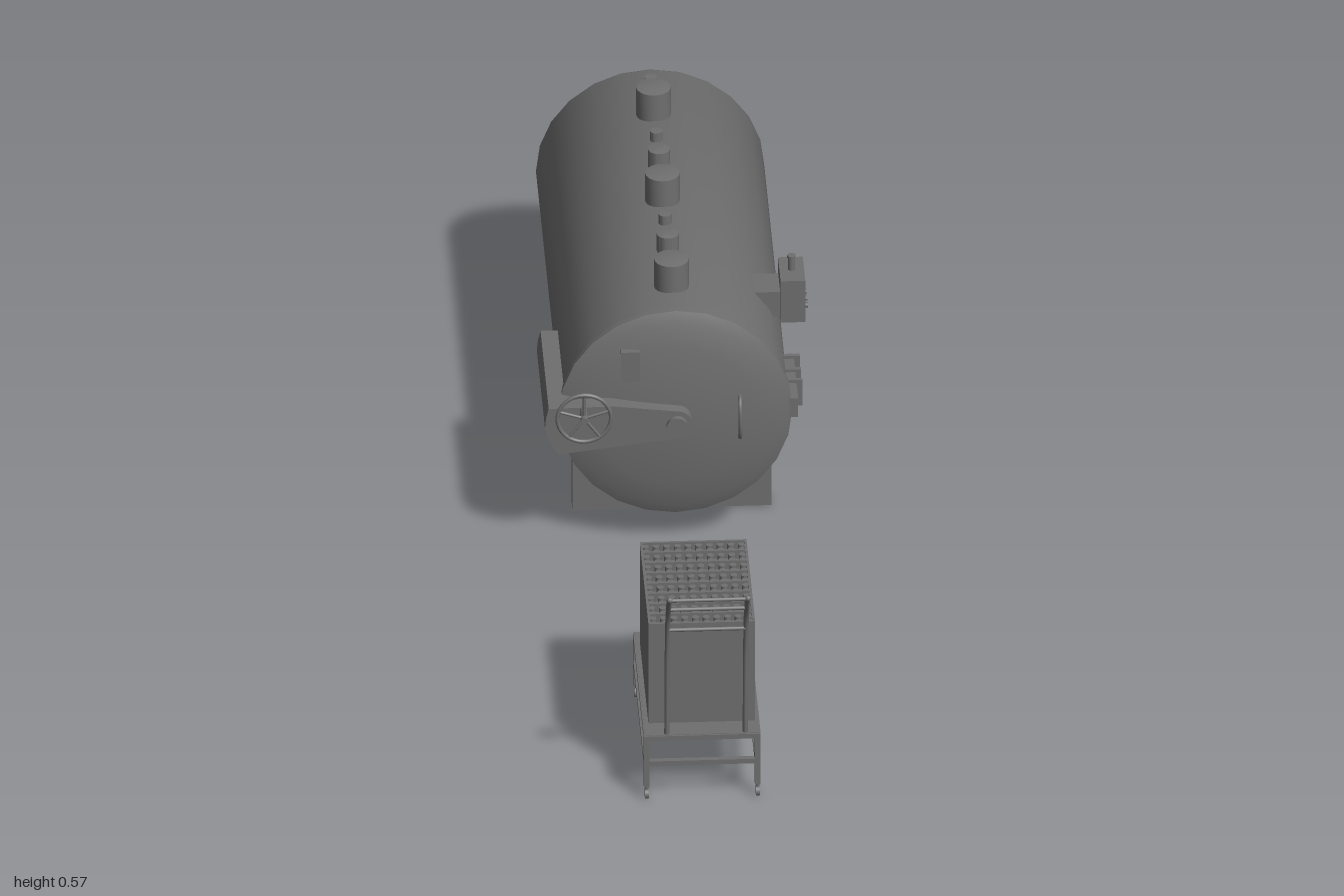
import * as THREE from 'three';
import { toCreasedNormals } from 'three/addons/utils/BufferGeometryUtils.js';

const CX = -0.006, CY = 0.289, R = 0.217;

export function createModel() {
  const root = new THREE.Group();
  const mat = new THREE.MeshStandardMaterial({ color: 0x6f6f6f });
  const V = (x, y, z) => new THREE.Vector3(x, y, z);

  const group = (name) => {
    const g = new THREE.Group();
    g.name = name;
    root.add(g);
    return g;
  };
  const add = (parent, name, geo) => {
    const m = new THREE.Mesh(geo, mat);
    m.name = name;
    parent.add(m);
    return m;
  };
  // box given by its limits on each axis
  const box = (parent, name, x0, x1, y0, y1, z0, z1) =>
    add(parent, name, new THREE.BoxGeometry(x1 - x0, y1 - y0, z1 - z0)
      .translate((x0 + x1) / 2, (y0 + y1) / 2, (z0 + z1) / 2));
  // straight rod between two points
  const rod = (parent, name, a, b, r, seg = 12) => {
    const m = add(parent, name, new THREE.CylinderGeometry(r, r, a.distanceTo(b), seg));
    m.position.copy(a).add(b).multiplyScalar(0.5);
    m.quaternion.setFromUnitVectors(V(0, 1, 0), b.clone().sub(a).normalize());
    return m;
  };
  const tube = (parent, name, pts, r, n = 20) =>
    add(parent, name, new THREE.TubeGeometry(new THREE.CatmullRomCurve3(pts), n, r, 8));
  // profile of [radius, z] turned about the tank axis
  const turned = (parent, name, profile) => {
    const g = new THREE.LatheGeometry(profile.map(([r, z]) => new THREE.Vector2(r, z)), 24);
    g.rotateX(Math.PI / 2).translate(CX, CY, 0);
    return add(parent, name, toCreasedNormals(g, 0.9));
  };
  const extrude = (parent, name, shape, z0, z1) =>
    add(parent, name, toCreasedNormals(new THREE.ExtrudeGeometry(shape,
      { depth: z1 - z0, bevelEnabled: false, curveSegments: 12 }).translate(0, 0, z0), 0.4));

  // --- Tank ---
  const tank = group('tank');
  turned(tank, 'shell', [[0, -1], [0.07, -0.997], [0.13, -0.99], [0.18, -0.979],
    [0.205, -0.971], [0.213, -0.966], [R, -0.958], [R, -0.06], [0, -0.06]]);
  turned(tank, 'door', [[0, -0.062], [0.222, -0.062], [0.222, -0.05], [0.2, -0.041],
    [0.15, -0.031], [0.08, -0.023], [0, -0.02]]);

  // --- Ports along the crown: z, radius, top height ---
  [[-0.9, 0.012, 0.525], [-0.8, 0.033, 0.562], [-0.7, 0.012, 0.525], [-0.605, 0.021, 0.541],
    [-0.48, 0.033, 0.562], [-0.39, 0.012, 0.525], [-0.29, 0.021, 0.541], [-0.16, 0.033, 0.562],
  ].forEach(([z, r, top]) => {
    const g = new THREE.LatheGeometry([[r, 0.48], [r, top], [r * 0.6, top + r * 0.07], [0, top + r * 0.1]]
      .map(([a, b]) => new THREE.Vector2(a, b)), 20);
    add(tank, 'topPort', toCreasedNormals(g, 0.5)).position.set(-0.008, 0, z);
  });

  // --- Saddle supports with a round cradle ---
  const saddle = new THREE.Shape();
  const a = Math.acos(0.189 / R);
  saddle.moveTo(CX - 0.189, 0);
  saddle.lineTo(CX + 0.189, 0);
  saddle.absarc(CX, CY, R, -a, -Math.PI + a, true);
  saddle.closePath();
  for (const z of [-0.208, -0.821]) extrude(tank, 'saddle', saddle, z, z + 0.028);

  // --- Control box on its bracket ---
  const control = group('controlBox');
  box(control, 'bracket', 0.13, 0.205, 0.38, 0.434, -0.31, -0.24);
  box(control, 'case', 0.203, 0.25, 0.375, 0.466, -0.315, -0.225);
  rod(control, 'beacon', V(0.226, 0.46, -0.27), V(0.226, 0.492, -0.27), 0.007);
  rod(control, 'beaconCap', V(0.226, 0.492, -0.27), V(0.226, 0.497, -0.27), 0.008);
  for (const z of [-0.295, -0.27, -0.245])
    rod(control, 'knob', V(0.248, 0.401, z), V(0.256, 0.401, z), 0.005);

  // --- Hinge strap with thin brackets on the left flank ---
  const hinge = group('doorHinge');
  box(hinge, 'strap', 0.195, 0.227, 0.271, 0.312, -0.215, -0.048);
  for (const z of [-0.2, -0.15, -0.11])
    box(hinge, 'bracket', 0.202, 0.238, 0.262, 0.318, z - 0.004, z + 0.004);

  // --- Locking arm: side casing, swing arm and pivot ---
  const lock = group('lockingArm');
  const casing = new THREE.Shape([[-0.2, 0.333], [-0.25, 0.333], [-0.255, 0.312], [-0.257, 0.29],
    [-0.25, 0.263], [-0.232, 0.232], [-0.19, 0.237]].map((p) => new THREE.Vector2(...p)));
  extrude(lock, 'sideCasing', casing, -0.29, -0.02);
  const arm = new THREE.Shape();
  arm.moveTo(-0.25, 0.333);
  arm.lineTo(-0.255, 0.312);
  arm.lineTo(-0.257, 0.29);
  arm.lineTo(-0.25, 0.263);
  arm.lineTo(-0.232, 0.232);
  arm.lineTo(CX, 0.26);
  arm.absarc(CX, 0.29, 0.03, -Math.PI / 2, Math.PI / 2, false);
  arm.lineTo(-0.13, 0.335);
  arm.closePath();
  extrude(lock, 'swingArm', arm, -0.03, 0.002);
  rod(lock, 'pivot', V(CX, 0.29, -0.03), V(CX, 0.29, 0.012), 0.02, 20);

  // --- Handwheel ---
  const wheel = group('handwheel');
  wheel.position.set(-0.184, 0.328, 0.032);
  add(wheel, 'rim', new THREE.TorusGeometry(0.051, 0.004, 8, 32));
  for (let i = 0; i < 5; i++) {
    const t = Math.PI / 2 + (i * Math.PI * 2) / 5;
    rod(wheel, 'spoke', V(0, 0, 0), V(0.051 * Math.cos(t), 0.051 * Math.sin(t), 0), 0.003, 8);
  }
  rod(wheel, 'axle', V(0, 0, -0.035), V(0, 0, 0.012), 0.007);

  // --- Door fittings ---
  box(tank, 'doorLatch', -0.111, -0.075, 0.373, 0.437, -0.045, -0.024);
  tube(tank, 'doorHandle', [V(0.115, 0.247, -0.032), V(0.115, 0.25, -0.014), V(0.115, 0.27, -0.003),
    V(0.115, 0.31, -0.003), V(0.115, 0.33, -0.014), V(0.115, 0.333, -0.032)], 0.0038);

  // --- Trolley frame ---
  const cart = group('trolley');
  const X0 = -0.117, X1 = 0.105, Z0 = 0.512, Z1 = 0.902, B = 0.011;
  for (const x of [X0, X1 - B]) {
    for (const z of [Z0, Z1 - B]) {
      box(cart, 'leg', x, x + B, 0.026, 0.138, z, z + B);
      const cx = x + B / 2, cz = z + B / 2;
      rod(cart, 'casterWheel', V(cx - 0.0035, 0.01, cz), V(cx + 0.0035, 0.01, cz), 0.01, 16);
      rod(cart, 'casterStem', V(cx, 0.012, cz), V(cx, 0.03, cz), 0.003, 8);
    }
    box(cart, 'sideRailTop', x, x + B, 0.128, 0.138, Z0, Z1);
    box(cart, 'sideRailLow', x, x + B, 0.073, 0.083, Z0, Z1);
  }
  for (const z of [Z0, Z1 - B]) {
    box(cart, 'endRailTop', X0, X1, 0.128, 0.138, z, z + B);
    box(cart, 'endRailLow', X0, X1, 0.073, 0.083, z, z + B);
  }
  box(cart, 'deck', X0 + 0.003, X1 - 0.003, 0.132, 0.139, Z0 + 0.003, Z1 - 0.003);

  // --- Push handle ---
  const bend = [[0.138, 0.893], [0.25, 0.903], [0.34, 0.913], [0.41, 0.931], [0.455, 0.958], [0.482, 0.978], [0.492, 0.994]];
  for (const x of [-0.073, 0.076]) {
    tube(cart, 'handleUpright', bend.map(([y, z]) => V(x, y, z)), 0.005, 28);
    add(cart, 'handleTip', new THREE.SphereGeometry(0.006, 12, 8)).position.set(x, 0.492, 0.994);
  }
  for (const [y, z] of [[0.385, 0.924], [0.447, 0.953], [0.491, 0.994]])
    rod(cart, 'handleRung', V(-0.073, y, z), V(0.076, y, z), 0.004, 8);

  // --- Load crate: solid body, rim walls, dividers and packed cells ---
  const crate = group('loadCrate');
  const lx0 = -0.106, lx1 = 0.097, lz0 = 0.548, lz1 = 0.854, top = 0.358, w = 0.005;
  box(crate, 'crateBody', lx0, lx1, 0.138, 0.34, lz0, lz1);
  for (const x of [lx0, lx1 - w]) box(crate, 'sideRim', x, x + w, 0.34, top, lz0, lz1);
  for (const z of [lz0, lz1 - w]) box(crate, 'endRim', lx0, lx1, 0.34, top, z, z + w);
  const rows = 8, cols = 10;
  const dz = (lz1 - lz0) / rows, dx = (lx1 - lx0) / cols;
  for (let i = 1; i < rows; i++)
    box(crate, 'divider', lx0, lx1, 0.34, top, lz0 + i * dz - 0.002, lz0 + i * dz + 0.002);
  for (let i = 0; i < rows * 2; i++) {
    for (let j = 0; j < cols; j++) {
      const x = lx0 + (j + 0.5) * dx, z = lz0 + (i + 0.5) * dz / 2;
      rod(crate, 'packedCell', V(x, 0.338, z), V(x, 0.354, z), 0.007, 8);
    }
  }
  return root;
}
